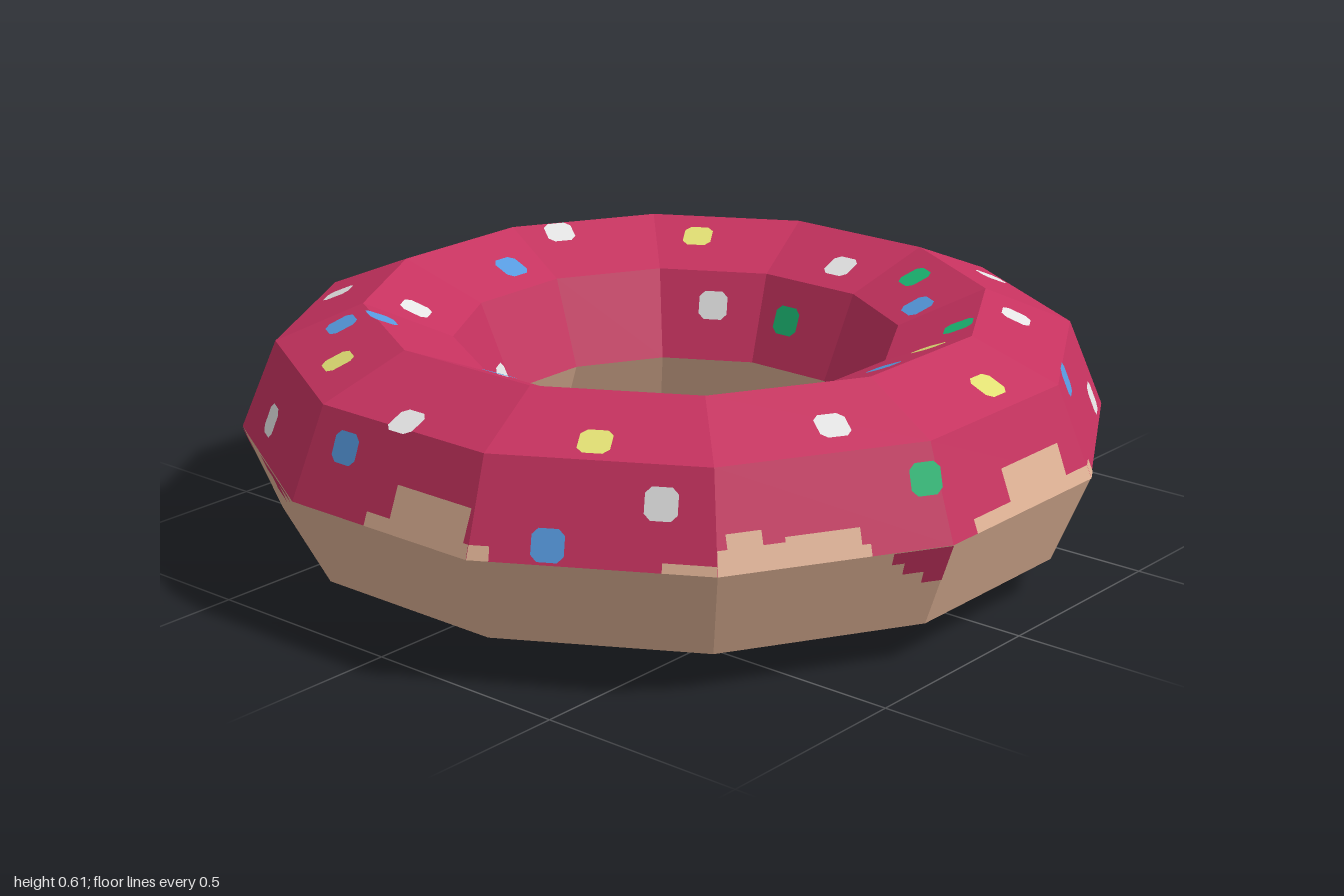
import * as THREE from 'three';
import { mergeGeometries } from 'three/addons/utils/BufferGeometryUtils.js';

const SIDES = 12, STEP = Math.PI / 6, TAN = Math.tan(Math.PI / 12);
const MID_Y = 0.298;
// Octagonal tube section: [distance from axis to the middle of a side, height]
const SECTION = Array.from({ length: 9 }, (_, i) => {
  const a = i * Math.PI / 4;
  return [0.715 + 0.285 * Math.cos(a), MID_Y + 0.298 * Math.sin(a)];
});

const material = (name, color, flatShading = false) => {
  const m = new THREE.MeshStandardMaterial({ color, flatShading });
  m.name = name;
  return m;
};

// Twelve-sided band through the section points from..to
function band(from, to) {
  const points = SECTION.slice(from, to + 1)
    .map(([r, y]) => new THREE.Vector2(r / Math.cos(STEP / 2), y));
  return new THREE.LatheGeometry(points, SIDES, STEP / 2);
}

// Lays a flat shape on one facet: row is the section edge, a/y the origin, t the sideways shift
function layOnFacet(geometry, facet, row, a, y, t, lift) {
  const phi = facet * STEP;
  const radial = new THREE.Vector3(Math.sin(phi), 0, Math.cos(phi));
  const side = new THREE.Vector3(Math.cos(phi), 0, -Math.sin(phi));
  const [p, q] = [SECTION[row], SECTION[row + 1]];
  const slope = radial.clone().multiplyScalar(q[0] - p[0]);
  slope.y = q[1] - p[1];
  slope.normalize();
  const normal = side.clone().cross(slope);
  const origin = radial.clone().multiplyScalar(a).addScaledVector(side, t).addScaledVector(normal, lift);
  origin.y += y;
  return geometry.applyMatrix4(new THREE.Matrix4().makeBasis(side, slope, normal).setPosition(origin));
}

// Stepped edge of the icing, per facet: [start, end, height from the equator]
const BARE = {
  0: [[-.04, .03, .03], [.03, .25, .1], [.25, .27, .03]],
  1: [[-.27, -.22, .03], [.15, .27, .02]],
  2: [[-.27, -.24, .05], [-.24, -.16, .08], [-.16, -.11, .05], [-.11, .06, .06], [.06, .08, .025]],
  3: [[-.18, -.04, .03], [-.04, .18, .1], [.18, .27, .03]],
  4: [[-.27, -.22, .03]],
  7: [[-.25, -.17, .03], [-.17, -.02, .045], [-.02, .11, .08], [.11, .27, .04]],
};
const DRIPS = {
  2: [[.13, .16, -.03], [.16, .21, -.06], [.21, .27, -.09]],
  4: [[.02, .08, -.05], [.08, .24, -.09], [.24, .27, -.05]],
  5: [[-.27, -.18, -.04], [-.04, .2, -.06]],
  6: [[-.21, -.08, -.05], [-.08, .05, -.11], [.05, .12, -.05]],
  8: [[-.16, -.08, -.07], [-.08, .06, -.05], [.06, .13, -.02], [.17, .27, -.06]],
  9: [[-.15, 0, -.04]],
  10: [[-.23, -.17, -.04], [-.17, -.03, -.07], [-.03, .02, -.04], [.02, .1, -.12], [.1, .27, -.05]],
  11: [[-.27, -.23, -.05], [-.06, 0, -.035], [0, .1, -.065], [.1, .22, -.02]],
};

function steps(table, row) {
  const parts = [];
  for (const [facet, list] of Object.entries(table)) {
    const shapes = list.map(([t0, t1, h]) => {
      const s = h * 1.08;
      const clamp = (t, w) => Math.max(-w, Math.min(w, t));
      const wide = TAN, narrow = (1 - 0.4 * Math.abs(h)) * TAN;
      return new THREE.Shape([
        new THREE.Vector2(clamp(t0, wide), 0), new THREE.Vector2(clamp(t1, wide), 0),
        new THREE.Vector2(clamp(t1, narrow), s), new THREE.Vector2(clamp(t0, narrow), s),
      ]);
    });
    parts.push(layOnFacet(new THREE.ShapeGeometry(shapes), +facet, row, 1, MID_Y, 0, 0.002));
  }
  return mergeGeometries(parts);
}

// Sprinkle positions seen from above: [x, z]
const SPRINKLES = {
  white: [[-.07, -.975], [-.545, -.66], [-.625, -.27], [-.975, .07], [-.76, .38], [-.49, .385], [-.42, .165],
    [-.535, .81], [.21, .61], [-.04, .47], [.755, .38], [.595, .75], [0, .9], [.65, -.465], [.78, -.605],
    [.37, -.77], [.04, -.59], [.385, -.235], [-.235, -.42]],
  blue: [[-.29, -.82], [-.66, -.46], [-.59, -.05], [-.5, .615], [-.41, .575], [0, .615], [.545, .235],
    [.41, .9], [-.145, .945], [.67, .08], [.87, -.345], [.38, -.45]],
  green: [[.14, -.93], [-.32, -.69], [-.81, -.34], [-.97, -.29], [-.78, .53], [.165, .415], [.485, .385],
    [.93, .28], [.625, -.27], [.28, -.575], [.44, -.04], [-.04, -.475]],
  yellow: [[.07, -.84], [-.37, -.52], [-.78, -.535], [-.86, .01], [-.36, .76], [.42, .235], [.42, .76],
    [.64, -.13], [.85, -.06], [.535, -.81]],
};

// Small square with clipped corners
function sprinkle([x, z]) {
  const facet = Math.round(Math.atan2(x, z) / STEP), phi = facet * STEP;
  const a = x * Math.sin(phi) + z * Math.cos(phi);
  const t = x * Math.cos(phi) - z * Math.sin(phi);
  let row = 0;
  while (row < 3 && a < SECTION[row + 1][0]) row++;
  const [p, q] = [SECTION[row], SECTION[row + 1]];
  const y = p[1] + (q[1] - p[1]) * (a - p[0]) / (q[0] - p[0]);
  const w = 0.036, c = 0.022;
  const corners = [[w, -c], [w, c], [c, w], [-c, w], [-w, c], [-w, -c], [-c, -w], [c, -w]];
  const shape = new THREE.Shape(corners.map(([u, v]) => new THREE.Vector2(u, v)));
  return layOnFacet(new THREE.ShapeGeometry(shape), facet, row, a, y, t, 0.004);
}

export function createModel() {
  const group = new THREE.Group();
  group.name = 'doughnut';
  const add = (name, geometry, mat) => {
    const mesh = new THREE.Mesh(geometry, mat);
    mesh.name = name;
    group.add(mesh);
  };
  const dough = material('dough', 0xe0b396, true);
  const icing = material('pink icing', 0xc6325f, true);

  add('icing', band(0, 4), icing);
  add('doughBase', band(4, 8), dough);
  add('icingDrips', steps(DRIPS, 7), icing);
  add('bareDough', steps(BARE, 0), dough);

  const colours = { white: 0xe4e4e4, blue: 0x579be0, green: 0x1cb974, yellow: 0xe2e074 };
  for (const [name, list] of Object.entries(SPRINKLES)) {
    add(name + 'Sprinkles', mergeGeometries(list.map(sprinkle)), material(name + ' sprinkle', colours[name]));
  }
  return group;
}
